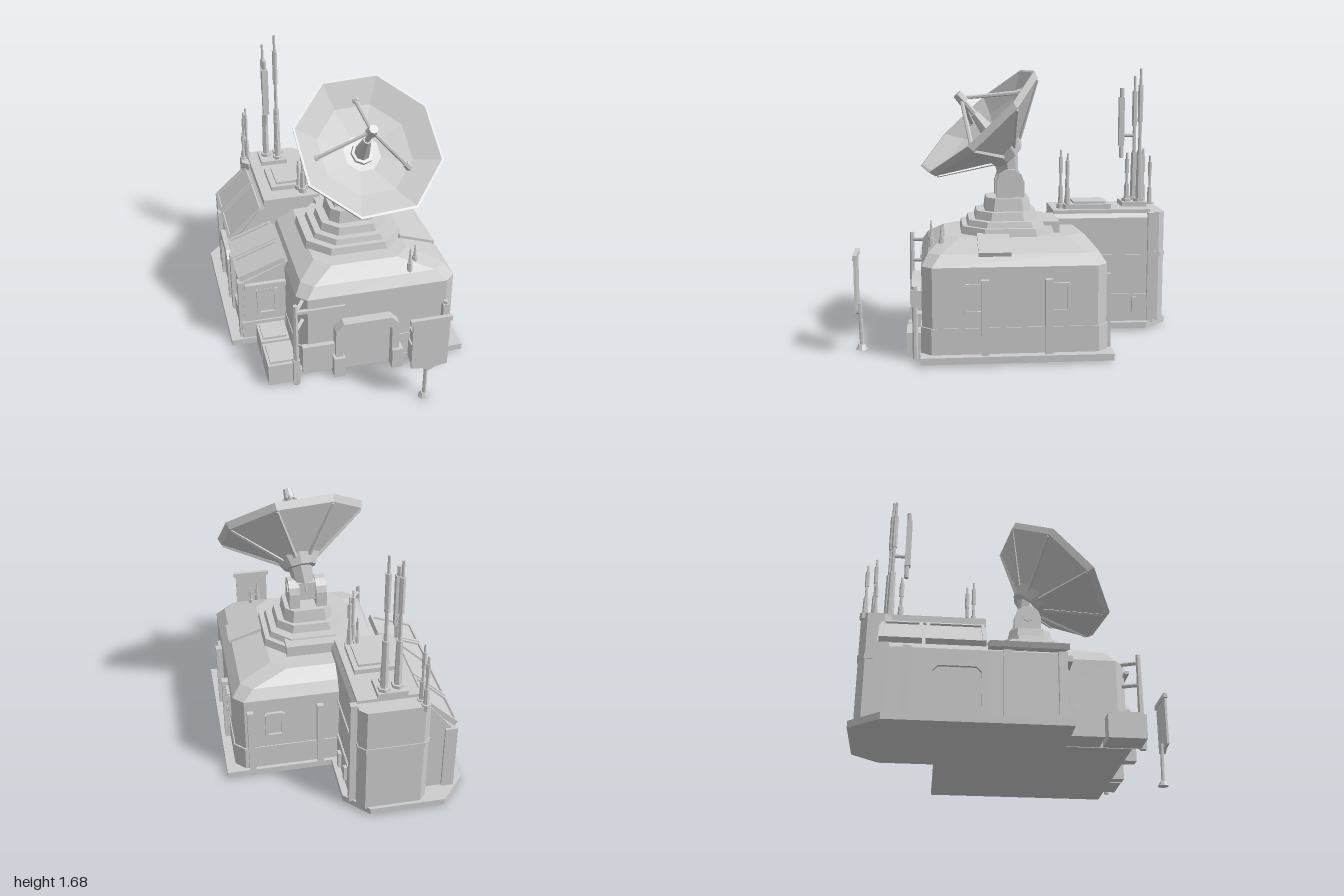
import * as THREE from 'three';

const V = (x, y, z) => new THREE.Vector3(x, y, z);

export function createModel() {
  const model = new THREE.Group();
  model.name = 'radarOutpost';
  const grey = new THREE.MeshStandardMaterial({ color: 0xcccccc, flatShading: true });
  grey.name = 'light grey';

  const add = (name, geo, parent = model) => {
    const m = new THREE.Mesh(geo, grey);
    m.name = name;
    parent.add(m);
    return m;
  };
  // box given by its limits on each axis
  const box = (name, x0, x1, y0, y1, z0, z1, parent) => {
    const m = add(name, new THREE.BoxGeometry(x1 - x0, y1 - y0, z1 - z0), parent);
    m.position.set((x0 + x1) / 2, (y0 + y1) / 2, (z0 + z1) / 2);
    return m;
  };
  // rod from a to b
  const rod = (name, a, b, r0, r1 = r0, sides = 6, parent = model) => {
    const m = add(name, new THREE.CylinderGeometry(r1, r0, a.distanceTo(b), sides), parent);
    m.position.copy(a).lerp(b, 0.5);
    m.quaternion.setFromUnitVectors(V(0, 1, 0), b.clone().sub(a).normalize());
    return m;
  };
  // rectangle with cut corners at one height
  const ring = (x0, x1, z0, z1, c, y) => [
    [x0 + c, z1], [x1 - c, z1], [x1, z1 - c], [x1, z0 + c],
    [x1 - c, z0], [x0 + c, z0], [x0, z0 + c], [x0, z1 - c],
  ].map(([x, z]) => V(x, y, z));
  // closed solid through stacked rings
  const loft = (name, rings) => {
    const pts = [];
    const n = rings[0].length;
    for (let k = 0; k + 1 < rings.length; k++) {
      for (let i = 0; i < n; i++) {
        const j = (i + 1) % n, lo = rings[k], hi = rings[k + 1];
        pts.push(lo[i], lo[j], hi[j], lo[i], hi[j], hi[i]);
      }
    }
    const bot = rings[0], top = rings[rings.length - 1];
    for (let i = 1; i + 1 < n; i++) pts.push(top[0], top[i], top[i + 1], bot[0], bot[i + 1], bot[i]);
    const g = new THREE.BufferGeometry().setFromPoints(pts);
    g.computeVertexNormals();
    return add(name, g);
  };
  const extrude = (pts, depth) => new THREE.ExtrudeGeometry(
    new THREE.Shape(pts.map(([x, y]) => new THREE.Vector2(x, y))), { depth, bevelEnabled: false });

  // foundation slab
  const slab = [[-0.55, -1], [-0.09, -1], [0.05, -0.85], [0.05, -0.52], [0.71, -0.52], [0.71, 0.6],
    [-0.36, 0.6], [-0.36, 0.22], [-0.71, 0.22], [-0.71, -0.82]].map(([x, z]) => [x, -z]);
  add('foundation', extrude(slab, 0.04).rotateX(-Math.PI / 2)).position.y = 0.02;

  // main hall with sloped roof
  loft('mainHall', [
    ring(-0.35, 0.645, -0.49, 0.59, 0.06, 0.05), ring(-0.35, 0.645, -0.49, 0.59, 0.06, 0.57),
    ring(-0.31, 0.59, -0.45, 0.55, 0.07, 0.635), ring(-0.2, 0.39, -0.37, 0.45, 0.09, 0.7)]);
  loft('hallFooting', [ring(-0.355, 0.652, -0.497, 0.597, 0.06, 0.05), ring(-0.355, 0.652, -0.497, 0.597, 0.06, 0.215)]);

  // rear block, its lower front wing and the stair tower
  const rear = extrude([[-0.62, 0.05], [0, 0.05], [0, 0.74], [-0.03, 0.78], [-0.3, 0.78], [-0.43, 0.71], [-0.62, 0.48]], 0.62);
  add('rearBlock', rear).position.z = -0.87;
  const wing = extrude([[-0.62, 0.05], [-0.2, 0.05], [-0.2, 0.64], [-0.32, 0.61], [-0.62, 0.48]], 0.45);
  add('sideWing', wing).position.z = -0.25;
  loft('stairTower', [ring(-0.44, -0.02, -0.98, -0.8, 0.04, 0.05), ring(-0.44, -0.02, -0.98, -0.8, 0.04, 0.77)]);
  loft('towerBand', [ring(-0.445, -0.015, -0.985, -0.8, 0.04, 0.48), ring(-0.445, -0.015, -0.985, -0.8, 0.04, 0.51)]);
  box('rearWallBand', -0.1, 0.008, 0.48, 0.5, -0.87, -0.49);
  box('rearWallFooting', -0.1, 0.01, 0.05, 0.24, -0.87, -0.49);
  box('wallUnit', 0, 0.03, 0.08, 0.19, -0.625, -0.585);
  box('wallUnit', 0, 0.03, 0.12, 0.22, -0.79, -0.76);
  box('rearCorner', -0.06, 0.02, 0.05, 0.77, -0.9, -0.86);
  box('rearCorner', -0.635, -0.56, 0.05, 0.5, -0.885, -0.8);

  // window frame: four bars and a thin pane, built facing +z
  const windowAt = (x, y, z, turn, w = 0.1, h = 0.16) => {
    const g = new THREE.Group();
    g.name = 'window';
    for (const s of [-1, 1]) {
      box('frameSide', s * w / 2 - 0.01, s * w / 2 + 0.01, -h / 2, h / 2, -0.01, 0.018, g);
      box('frameBar', -w / 2, w / 2, s * h / 2 - 0.01, s * h / 2 + 0.01, -0.01, 0.018, g);
    }
    box('pane', -w / 2, w / 2, -h / 2, h / 2, -0.003, 0.004, g);
    g.position.set(x, y, z);
    g.rotation.y = turn;
    model.add(g);
  };
  for (const z of [0.29, -0.21]) windowAt(0.645, 0.385, z, Math.PI / 2);
  windowAt(0.4, 0.385, -0.49, Math.PI);
  windowAt(-0.47, 0.33, 0.2, 0, 0.11, 0.18);

  // wall pillars
  for (const z of [0.23, -0.14]) box('sidePillar', 0.64, 0.685, 0.05, 0.5, z - 0.025, z + 0.02);
  for (const x of [0.12, 0.55]) box('backPillar', x - 0.02, x + 0.02, 0.05, 0.5, -0.52, -0.48);
  for (const z of [-0.7, -0.14, 0.17]) box('leftPillar', -0.65, -0.61, 0.05, 0.48, z - 0.025, z + 0.025);
  box('wingFooting', -0.635, -0.36, 0.05, 0.18, -0.2, 0.21);
  box('wingLintel', -0.61, -0.3, 0.44, 0.475, 0.19, 0.23);
  box('frontRail', -0.36, -0.06, 0.485, 0.505, 0.58, 0.605);

  // doorways with chamfered arch, built facing +z
  const doorway = (w, h, depth) => {
    const o = [[-w, 0], [-w, h - 0.05], [-w + 0.05, h], [w - 0.05, h], [w, h - 0.05], [w, 0]];
    const k = w - 0.045, t = h - 0.055;
    const inner = [[k, 0], [k, t - 0.03], [k - 0.03, t], [-k + 0.03, t], [-k, t - 0.03], [-k, 0]];
    const g = new THREE.Group();
    g.name = 'doorway';
    add('doorFrame', extrude([...o, ...inner], depth), g);
    box('doorLeaf', -k, k, 0, t, -0.01, 0.02, g);
    model.add(g);
    return g;
  };
  doorway(0.2, 0.36, 0.07).position.set(0.07, 0.04, 0.585);
  const sideDoor = doorway(0.18, 0.37, 0.04);
  sideDoor.position.set(-0.615, 0.05, -0.42);
  sideDoor.rotation.y = -Math.PI / 2;
  for (const x of [-0.11, 0.26]) box('doorBuffer', x - 0.035, x + 0.035, 0.02, 0.16, 0.6, 0.675);
  box('frontPanel', -0.33, -0.13, 0.05, 0.24, 0.58, 0.62);

  // crates around the front
  box('crate', 0.35, 0.56, 0.03, 0.17, 0.59, 0.68);
  box('crateLid', 0.36, 0.44, 0.17, 0.25, 0.59, 0.64);
  for (const [z0, z1] of [[0.43, 0.65], [0.22, 0.41]]) {
    box('crate', -0.55, -0.37, 0.02, 0.165, z0, z1);
    box('crateLid', -0.535, -0.385, 0.165, 0.18, z0 + 0.02, z1 - 0.02);
  }

  // posts and rails
  rod('cornerPost', V(-0.38, 0.01, 0.66), V(-0.38, 0.6, 0.66), 0.021, 0.014);
  box('postSleeve', -0.4, -0.36, 0.02, 0.2, 0.64, 0.68);
  for (const y of [0.41, 0.55]) rod('postRail', V(-0.38, y, 0.66), V(-0.32, y + 0.01, 0.57), 0.012);
  rod('frontPost', V(0.57, 0.02, 0.63), V(0.57, 0.45, 0.63), 0.016);
  box('postSleeve', 0.55, 0.59, 0.33, 0.43, 0.61, 0.65);
  for (const [x, z, y] of [[0.36, 0.53, 0.8], [0.41, 0.47, 0.78]]) {
    rod('roofSpike', V(x, 0.58, z), V(x, 0.7, z), 0.02, 0.016);
    rod('roofSpikeTip', V(x, 0.7, z), V(x, y, z), 0.011, 0.004);
  }

  // banner on a short stand
  const banner = extrude([[0.24, 0.27], [0.31, 0.26], [0.35, 0.235], [0.39, 0.26], [0.46, 0.27], [0.46, 0.59], [0.24, 0.59]], 0.014);
  add('banner', banner).position.z = 0.972;
  box('bannerBar', 0.225, 0.475, 0.585, 0.615, 0.965, 0.99);
  rod('bannerPole', V(0.34, 0.03, 0.955), V(0.34, 0.3, 0.962), 0.012);
  rod('bannerFoot', V(0.34, 0.015, 0.955), V(0.34, 0.045, 0.955), 0.036, 0.02, 8);

  // slanted panels: steep on the rear block, shallow on the wing
  const panel = (x, y, z0, z1, half, slant) => {
    const g = new THREE.Group();
    g.name = 'solarPanel';
    const h = (z1 - z0) / 2;
    box('panel', -half, half, -0.01, 0.012, -h, h, g);
    for (const s of [-1, 1]) {
      box('panelRim', -half, half, 0.01, 0.024, s * (h - 0.01) - 0.01, s * (h - 0.01) + 0.01, g);
      box('panelRim', s * (half - 0.01) - 0.01, s * (half - 0.01) + 0.01, 0.01, 0.024, -h, h, g);
    }
    g.position.set(x, y, (z0 + z1) / 2);
    g.rotation.z = slant;
    model.add(g);
  };
  for (const [z0, z1] of [[-0.86, -0.62], [-0.6, -0.26]]) panel(-0.515, 0.615, z0, z1, 0.15, 0.75);
  for (const [z0, z1] of [[-0.24, -0.02], [-0.01, 0.21]]) panel(-0.495, 0.565, z0, z1, 0.155, 0.36);

  // rear roof hatch and plates
  box('roofPlate', -0.39, -0.02, 0.74, 0.79, -0.88, -0.25);
  box('roofHatch', -0.32, -0.06, 0.78, 0.82, -0.63, -0.36);
  box('hatchLid', -0.28, -0.09, 0.82, 0.835, -0.6, -0.39);
  box('mastPlate', -0.32, -0.14, 0.78, 0.82, -0.88, -0.72);
  const tile = box('roofTile', -0.12, 0.12, -0.015, 0.015, 0.07, 0.26);
  tile.position.set(0.49, 0.67, 0.165);
  tile.rotation.z = -0.32;

  // antenna masts: x, z, foot, top, radius
  const masts = [[-0.27, -0.82, 0.8, 1.64, 0.024], [-0.185, -0.84, 0.8, 1.69, 0.024], [-0.2, -0.76, 0.8, 1.14, 0.02],
    [-0.12, -0.31, 0.78, 1.17, 0.018], [-0.09, -0.35, 0.78, 1.15, 0.018], [-0.14, -0.35, 0.78, 1.0, 0.014],
    [-0.4, -0.96, 0.74, 1.1, 0.018], [-0.39, -0.91, 0.74, 1.15, 0.018], [-0.42, -0.9, 0.74, 0.98, 0.014]];
  for (const [x, z, y0, y1, r] of masts) {
    const mid = y0 + (y1 - y0) * 0.4;
    rod('mastBase', V(x, y0, z), V(x, y0 + 0.04, z), r * 1.6);
    rod('mastLower', V(x, y0, z), V(x, mid, z), r, r * 0.8);
    rod('mastUpper', V(x, mid, z), V(x, y1, z), r * 0.5, r * 0.35);
    rod('mastSleeve', V(x, mid + (y1 - mid) * 0.35, z), V(x, mid + (y1 - mid) * 0.8, z), r * 0.72);
  }
  rod('sideAerial', V(-0.275, 1.1, -0.735), V(-0.275, 1.56, -0.735), 0.014);
  box('aerialBody', -0.295, -0.255, 1.18, 1.5, -0.75, -0.715);
  rod('aerialBracket', V(-0.275, 1.25, -0.735), V(-0.27, 1.25, -0.82), 0.012);

  // stepped turret under the dish
  const step = (cx, cz, hx, hz, c, y0, y1) =>
    loft('turretStep', [ring(cx - hx, cx + hx, cz - hz, cz + hz, c, y0), ring(cx - hx + 0.01, cx + hx - 0.01, cz - hz + 0.01, cz + hz - 0.01, c, y1)]);
  step(0.09, 0.06, 0.31, 0.29, 0.13, 0.69, 0.745);
  step(0.1, 0.06, 0.26, 0.25, 0.11, 0.74, 0.78);
  step(0.1, 0.07, 0.21, 0.19, 0.09, 0.78, 0.83);
  step(0.105, 0.06, 0.155, 0.14, 0.05, 0.83, 0.91);
  box('turretRear', -0.06, 0.28, 0.69, 0.77, -0.25, -0.1);

  // yoke
  for (const x of [0.02, 0.19]) {
    box('yokeArm', x - 0.033, x + 0.033, 0.9, 1.01, -0.04, 0.13);
    rod('yokeHead', V(x - 0.033, 1.0, 0.045), V(x + 0.033, 1.0, 0.045), 0.085, 0.085, 10);
  }
  rod('yokeAxle', V(-0.02, 1.01, 0.045), V(0.23, 1.01, 0.045), 0.04, 0.04, 8);
  box('yokeBlock', 0.05, 0.16, 0.95, 1.07, -0.01, 0.1);

  // dish: local y is its axis, y = 0 at the rim
  const dish = new THREE.Group();
  dish.name = 'dish';
  const axis = V(0.1, 0.73, 0.67).normalize();
  dish.position.set(0.17, 1.385, 0.25);
  dish.quaternion.setFromUnitVectors(V(0, 1, 0), axis);
  model.add(dish);
  const spin = Math.PI / 8 + 0.14;
  const bowl = [[0, -0.25], [0.13, -0.25], [0.455, -0.045], [0.47, 0], [0.455, 0], [0.3, -0.085], [0.12, -0.15], [0, -0.165]];
  add('dishBowl', new THREE.LatheGeometry(bowl.map(([x, y]) => new THREE.Vector2(x, y)), 8), dish).rotation.y = spin;
  for (let i = 0; i < 8; i++) {
    const a = spin + i * Math.PI / 4, s = Math.sin(a), c = Math.cos(a);
    rod('dishRib', V(0.12 * s, -0.26, 0.12 * c), V(0.445 * s, -0.052, 0.445 * c), 0.014, 0.01, 4, dish);
  }
  rod('dishHub', V(0, -0.31, 0), V(0, -0.24, 0), 0.1, 0.14, 10, dish);
  rod('dishNeck', V(0.11, 1.0, 0.045), dish.position.clone().addScaledVector(axis, -0.26), 0.06, 0.08, 8);

  // feed horn with tripod
  const feed = V(-0.03, 0.155, -0.02);
  rod('feedCone', V(0, -0.17, 0), V(-0.02, 0.03, -0.015), 0.055, 0.025, 8, dish);
  rod('feedCollar', V(0, -0.165, 0), V(0, -0.14, 0), 0.075, 0.07, 8, dish);
  rod('feedStem', V(-0.02, 0.03, -0.015), feed, 0.018, 0.014, 6, dish);
  rod('feedHead', V(-0.03, 0.125, -0.02), V(-0.03, 0.19, -0.02), 0.034, 0.028, 8, dish);
  for (const [x, z] of [[-0.02, -0.33], [0.26, 0.13], [-0.35, 0.06]]) {
    const foot = V(x, -0.08, z);
    rod('feedStrut', foot, feed, 0.014, 0.011, 6, dish);
    rod('strutFoot', foot, foot.clone().lerp(feed, 0.12), 0.025, 0.02, 6, dish);
  }
  return model;
}
